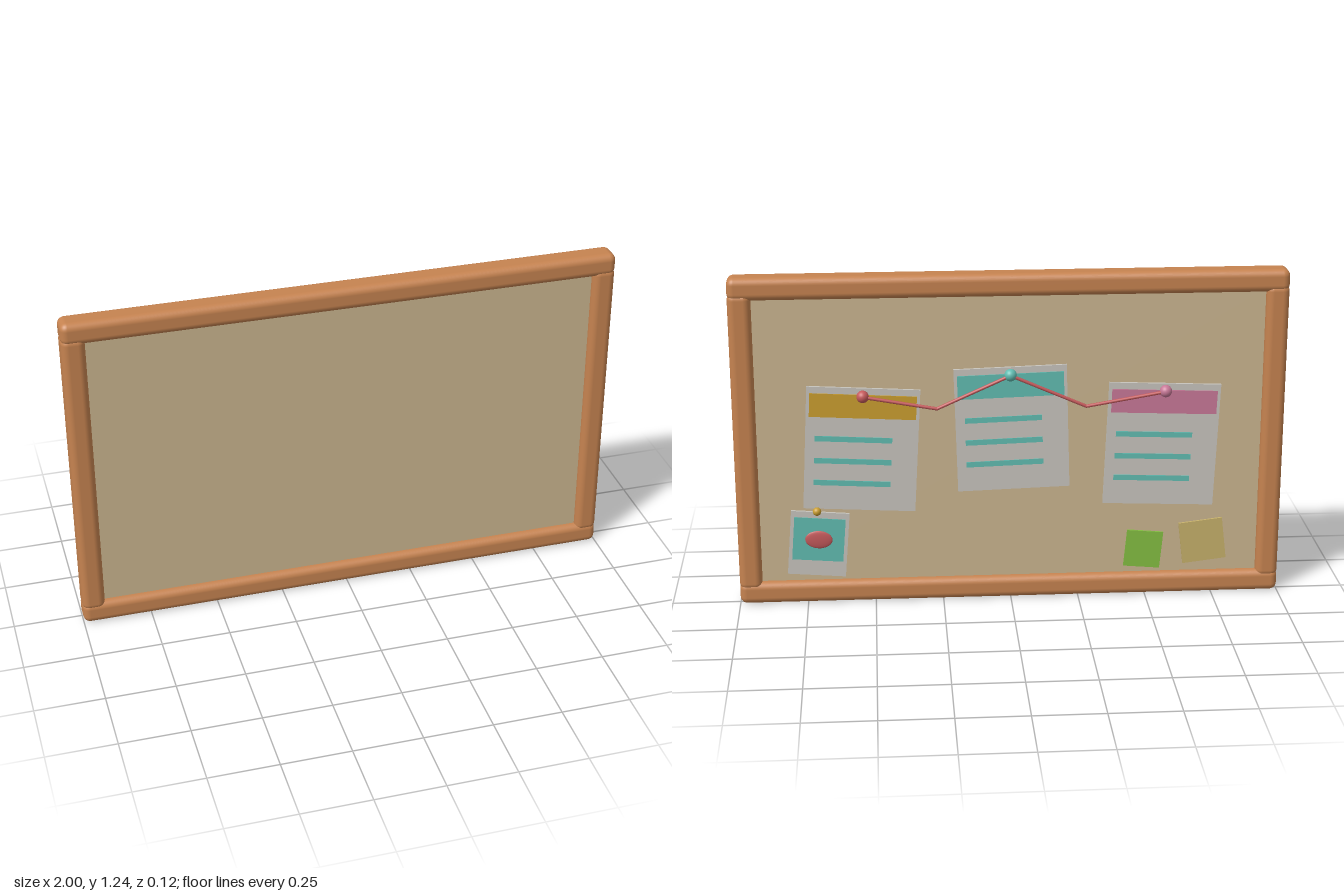
import * as THREE from 'three';
import { RoundedBoxGeometry } from 'three/addons/geometries/RoundedBoxGeometry.js';

const mat = (name, color) => new THREE.MeshStandardMaterial({ name, color });

export function createModel() {
  const wood = mat('wood', 0xc68350);
  const cork = mat('cork', 0xcbb690);
  const white = mat('paper', 0xc8c5be);
  const amber = mat('amber', 0xcb9f30);
  const teal = mat('teal', 0x62bdb2);
  const pink = mat('pink', 0xc87998);
  const red = mat('red', 0xc65a5c);
  const green = mat('green', 0x84be42);
  const khaki = mat('khaki', 0xc6b06a);

  const model = new THREE.Group();
  model.name = 'pinboard';

  const add = (parent, name, geometry, material, x, y, z) => {
    const mesh = new THREE.Mesh(geometry, material);
    mesh.name = name;
    mesh.position.set(x, y, z);
    parent.add(mesh);
    return mesh;
  };
  const plate = (parent, name, w, h, t, material, x, y, z) =>
    add(parent, name, new THREE.BoxGeometry(w, h, t), material, x, y, z);

  // Frame: full-width rails above and below, uprights tucked between them
  const H = 1.235, RAIL = 0.083, DEPTH = 0.094, Z = 0.013;
  for (const [name, y] of [['bottomRail', RAIL / 2], ['topRail', H - RAIL / 2]]) {
    add(model, name, new RoundedBoxGeometry(2, RAIL, DEPTH, 4, 0.026), wood, 0, y, Z);
  }
  for (const [name, side] of [['leftUpright', 1], ['rightUpright', -1]]) {
    add(model, name, new RoundedBoxGeometry(RAIL, H - 0.11, DEPTH, 4, 0.026), wood,
      side * (1 - RAIL / 2), H / 2, Z);
  }
  plate(model, 'corkPanel', 1.88, 1.12, 0.04, cork, 0, H / 2, 0.013);

  // Everything pinned up sits on the back, laid out in its own turned frame
  const back = new THREE.Group();
  back.name = 'pinnedItems';
  back.rotation.y = Math.PI;
  model.add(back);

  const sheet = (name, x, y, z, tilt) => {
    const g = new THREE.Group();
    g.name = name;
    g.position.set(x, y, z);
    g.rotation.z = tilt;
    back.add(g);
    return g;
  };

  // Three notices with a coloured header and ruled lines
  const notices = [
    ['amberNotice', -0.541, 0.59, -0.055, amber],
    ['tealNotice', 0.005, 0.658, 0.03, teal],
    ['pinkNotice', 0.552, 0.585, -0.04, pink],
  ];
  for (const [name, x, y, tilt, colour] of notices) {
    const g = sheet(name, x, y, 0.012, tilt);
    plate(g, 'paper', 0.408, 0.464, 0.01, white, 0, 0, 0);
    plate(g, 'header', 0.385, 0.088, 0.008, colour, 0, 0.164, 0.005);
    for (let i = 0; i < 3; i++) {
      plate(g, 'textLine', 0.28, 0.02, 0.006, teal, -0.03, 0.038 - i * 0.084, 0.005);
    }
  }

  // Small photo with a raised oval
  const photo = sheet('photo', -0.706, 0.232, 0.022, -0.08);
  plate(photo, 'paper', 0.213, 0.247, 0.01, white, 0, 0, 0);
  plate(photo, 'picture', 0.187, 0.165, 0.006, teal, 0, 0.018, 0.005);
  const oval = add(photo, 'oval', new THREE.SphereGeometry(1, 24, 16), red, 0, 0.018, 0.008);
  oval.scale.set(0.05, 0.034, 0.007);

  // Sticky notes
  plate(sheet('greenNote', 0.494, 0.174, 0.011, -0.09), 'note', 0.135, 0.142, 0.008, green, 0, 0, 0);
  plate(sheet('khakiNote', 0.714, 0.202, 0.011, 0.12), 'note', 0.163, 0.16, 0.008, khaki, 0, 0, 0);

  // Push pins
  const pins = [
    ['redPin', -0.532, 0.796, 0.035, 0.0225, red],
    ['tealPin', -0.002, 0.866, 0.035, 0.0225, teal],
    ['pinkPin', 0.56, 0.794, 0.035, 0.0225, pink],
    ['amberPin', -0.708, 0.36, 0.03, 0.0155, amber],
  ];
  for (const [name, x, y, z, r, colour] of pins) {
    add(back, name, new THREE.SphereGeometry(r, 24, 16), colour, x, y, z);
  }

  // String sagging between the three large pins
  const path = [[-0.532, 0.796], [-0.267, 0.747], [-0.002, 0.866], [0.272, 0.745], [0.56, 0.794]]
    .map(([x, y]) => new THREE.Vector3(x, y, 0.041));
  for (let i = 0; i < path.length - 1; i++) {
    const dir = path[i + 1].clone().sub(path[i]);
    const mid = path[i].clone().add(path[i + 1]).multiplyScalar(0.5);
    const seg = add(back, 'string', new THREE.CylinderGeometry(0.006, 0.006, dir.length() + 0.004, 10),
      red, mid.x, mid.y, mid.z);
    seg.quaternion.setFromUnitVectors(new THREE.Vector3(0, 1, 0), dir.normalize());
  }

  return model;
}
